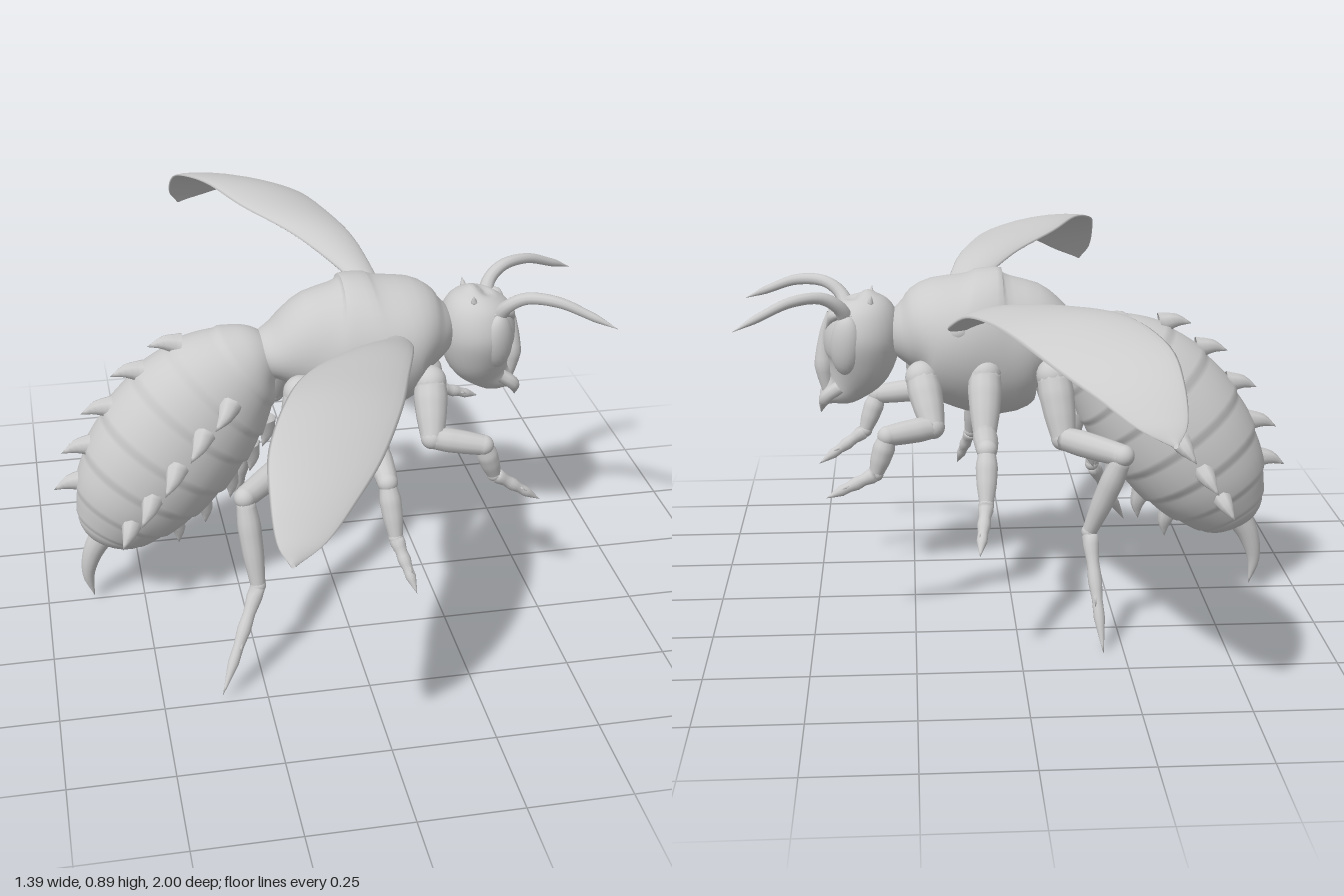
import * as THREE from 'three';
import { mergeVertices } from 'three/addons/utils/BufferGeometryUtils.js';

const V = (x, y, z = 0) => new THREE.Vector3(x, y, z);
const mat = new THREE.MeshStandardMaterial({ color: 0xcccccc, side: THREE.DoubleSide });
const smooth = (pts) => new THREE.CatmullRomCurve3(pts, false, 'catmullrom');

function part(parent, name, geo) {
  const m = new THREE.Mesh(geo, mat);
  m.name = name;
  parent.add(m);
  return m;
}

// Closed rings of points fn(u, angle) joined into a smooth skin
function skin(nu, nv, fn) {
  const pos = [], idx = [];
  for (let i = 0; i <= nu; i++)
    for (let j = 0; j < nv; j++) pos.push(...fn(i / nu, (j / nv) * Math.PI * 2).toArray());
  for (let i = 0; i < nu; i++)
    for (let j = 0; j < nv; j++) {
      const a = i * nv + j, b = i * nv + (j + 1) % nv;
      idx.push(a, b, a + nv, b, b + nv, a + nv);
    }
  const g = new THREE.BufferGeometry();
  g.setAttribute('position', new THREE.Float32BufferAttribute(pos, 3));
  g.setIndex(idx);
  g.computeVertexNormals();
  return g;
}

// Body surface from sections [x, y, half height, half width] along a spine in the xy plane
function bodySurface(sections, ripple = () => 1) {
  const spine = smooth(sections.map((s) => V(s[0], s[1])));
  const size = smooth(sections.map((s) => V(s[2], s[3])));
  return (u, angle) => {
    const t = spine.getTangent(u), r = size.getPoint(u), k = ripple(u);
    const n = V(0, 0, 1).cross(t);
    const out = n.multiplyScalar(Math.cos(angle)).add(V(0, 0, Math.sin(angle)));
    const p = spine.getPoint(u);
    p.addScaledVector(V(out.x, out.y), r.x * k);
    p.z += out.z * r.y * k;
    return { p, out, t };
  };
}

// Tube along points, with radii spread evenly over its length
function taper(pts, radii, seg = 12, sides = 12) {
  const curve = smooth(pts);
  const g = new THREE.TubeGeometry(curve, seg, 1, sides);
  const pos = g.attributes.position, v = V(0, 0);
  for (let i = 0; i <= seg; i++) {
    const c = curve.getPointAt(i / seg), f = (i / seg) * (radii.length - 1);
    const k = Math.min(Math.floor(f), radii.length - 2);
    const r = THREE.MathUtils.lerp(radii[k], radii[k + 1], f - k);
    for (let j = 0; j <= sides; j++) {
      const id = i * (sides + 1) + j;
      v.fromBufferAttribute(pos, id).sub(c).multiplyScalar(r).add(c);
      pos.setXYZ(id, v.x, v.y, v.z);
    }
  }
  g.deleteAttribute('uv');
  g.deleteAttribute('normal');
  const merged = mergeVertices(g, 1e-5);
  merged.computeVertexNormals();
  return merged;
}

function ball(parent, name, p, sx, sy = sx, sz = sx) {
  const m = part(parent, name, new THREE.SphereGeometry(1, 20, 14));
  m.position.copy(p);
  m.scale.set(sx, sy, sz);
  return m;
}

// Jointed leg: thigh, knee piece, shin and clawed foot
function leg(parent, name, pts, thick) {
  const g = new THREE.Group();
  g.name = name;
  parent.add(g);
  const p = pts.map((a) => V(...a));
  const profiles = [[1.15, 1.25, 1.1, 0.85], [0.8, 0.9, 0.85, 0.75], [0.55, 0.8, 0.72, 0.5], [0.5, 0.55, 0.42, 0.48, 0.36, 0.38, 0.2, 0]];
  const names = ['thigh', 'knee', 'shin', 'foot'];
  profiles.forEach((pr, i) => {
    part(g, names[i], taper([p[i], p[i + 1]], pr.map((r) => r * thick), 14));
    if (i < 3) ball(g, 'joint', p[i + 1], thick * [0.85, 0.74, 0.54][i]);
  });
  ball(g, 'hip', p[0], thick * 1.2);
  // Small barbs at the ankle
  for (const s of [-1, 1]) {
    const a = p[3].clone().lerp(p[4], 0.45);
    part(g, 'barb', taper([a, a.clone().lerp(p[4], 0.3).add(V(0.008, 0.004, s * 0.016))], [thick * 0.3, 0], 3, 6));
  }
}

export function createModel() {
  const root = new THREE.Group();
  root.name = 'wasp';

  // Thorax
  const thorax = bodySurface([
    [-0.19, 0.66, 0.001, 0.001], [-0.18, 0.67, 0.05, 0.06], [-0.14, 0.68, 0.075, 0.09], [-0.06, 0.69, 0.14, 0.12],
    [0.02, 0.68, 0.185, 0.145], [0.12, 0.69, 0.175, 0.163], [0.2, 0.71, 0.135, 0.15], [0.26, 0.705, 0.085, 0.1],
    [0.3, 0.7, 0.045, 0.05], [0.31, 0.7, 0.001, 0.001]]);
  part(root, 'thorax', skin(40, 32, (u, a) => thorax(u, a).p));

  // Abdomen with overlapping plates
  const first = 0.27, step = 0.105;
  const plate = (u) => {
    const f = (u - first) / step;
    return u > 0.1 && u < 0.82 ? 1 + 0.045 * (f - Math.floor(f) - 0.5) : 1;
  };
  const abdomen = bodySurface([
    [-0.14, 0.685, 0.03, 0.04], [-0.2, 0.66, 0.105, 0.1], [-0.28, 0.6, 0.16, 0.135], [-0.36, 0.52, 0.185, 0.155],
    [-0.44, 0.42, 0.185, 0.16], [-0.51, 0.32, 0.16, 0.14], [-0.56, 0.24, 0.115, 0.1], [-0.587, 0.193, 0.07, 0.06],
    [-0.595, 0.175, 0.001, 0.001]], plate);
  part(root, 'abdomen', skin(90, 32, (u, a) => abdomen(u, a).p));

  // Four rows of hooked spines: belly, back and both flanks
  for (let i = 0; i < 5; i++)
    for (let q = 0; q < 4; q++) {
      const { p, out, t } = abdomen(first + step * i - 0.004, (q * Math.PI) / 2);
      const at = (o, f) => p.clone().addScaledVector(out, o).addScaledVector(t, f);
      part(root, 'abdomenSpine', taper([at(-0.015, -0.02), at(0.018, 0.004), at(0.04, 0.04)], [0.03, 0.018, 0], 6, 8));
    }

  // Stinger
  part(root, 'stinger', taper([V(-0.59, 0.21), V(-0.625, 0.15), V(-0.642, 0.08), V(-0.63, 0.01)],
    [0.035, 0.029, 0.022, 0.013, 0]));

  // Head, lofted from crown to mouth
  const head = bodySurface([
    [0.375, 0.806, 0.001, 0.001], [0.372, 0.798, 0.045, 0.05], [0.37, 0.765, 0.083, 0.088], [0.372, 0.7, 0.097, 0.105],
    [0.382, 0.63, 0.085, 0.085], [0.415, 0.575, 0.055, 0.05], [0.455, 0.545, 0.026, 0.028], [0.475, 0.52, 0.001, 0.001]]);
  part(root, 'head', skin(36, 28, (u, a) => head(u, a).p));
  part(root, 'faceRidge', taper([V(0.45, 0.76), V(0.466, 0.7), V(0.468, 0.62), V(0.46, 0.56)], [0.008, 0.014, 0.025, 0.015]));

  for (const s of [1, -1]) {
    // Eyes, brows and crown barbs
    const eye = ball(root, 'eye', V(0.41, 0.69, s * 0.07), 0.042, 0.078, 0.032);
    eye.rotation.set(s * 0.12, s * 0.6, 0.1);
    part(root, 'brow', taper([V(0.385, 0.765, s * 0.085), V(0.435, 0.765, s * 0.062), V(0.462, 0.72, s * 0.03)], [0, 0.014, 0], 10, 8));
    part(root, 'crownBarb', taper([V(0.35, 0.78, s * 0.05), V(0.345, 0.815, s * 0.06)], [0.014, 0], 4, 8));
    // Mandibles
    part(root, 'mandible', taper([V(0.43, 0.575, s * 0.035), V(0.465, 0.55, s * 0.036), V(0.48, 0.503, s * 0.008)], [0.018, 0.016, 0], 10, 8));
    // Antennae
    part(root, 'antenna', taper([V(0.405, 0.745, s * 0.055), V(0.425, 0.79, s * 0.085), V(0.47, 0.818, s * 0.108),
      V(0.54, 0.815, s * 0.14), V(0.61, 0.787, s * 0.168), V(0.675, 0.757, s * 0.195)],
    [0.022, 0.017, 0.015, 0.014, 0.012, 0.01, 0], 28, 10));

    // Wing: [span, leading x, trailing x, leading y, trailing y]
    const ribs = [[0.1, 0.16, 0.12, 0.73, 0.735], [0.2, 0.158, 0.08, 0.765, 0.775], [0.35, 0.125, -0.03, 0.82, 0.835],
      [0.5, 0.08, -0.15, 0.84, 0.868], [0.65, 0.03, -0.225, 0.84, 0.882], [0.8, -0.045, -0.285, 0.81, 0.855],
      [0.9, -0.12, -0.3, 0.775, 0.805], [0.97, -0.195, -0.298, 0.73, 0.74], [1, -0.265, -0.275, 0.7, 0.702]];
    const lead = smooth(ribs.map((r) => V(r[1], r[3], s * r[0])));
    const trail = smooth(ribs.map((r) => V(r[2], r[4], s * r[0])));
    part(root, s > 0 ? 'leftWing' : 'rightWing', skin(40, 20, (u, a) => {
      const c = Math.cos(a), p = trail.getPoint(u).lerp(lead.getPoint(u), (c + 1) / 2);
      p.y += 0.012 * (1 - c * c) * Math.sin(u * Math.PI) + s * (0.014 - 0.009 * u) * Math.sin(a);
      return p;
    }));
    ball(root, 'wingRoot', V(0.135, 0.735, s * 0.13), 0.035, 0.03, 0.03);
  }

  // Legs, posed differently on each side
  leg(root, 'leftFrontLeg', [[0.225, 0.62, 0.12], [0.215, 0.505, 0.2], [0.34, 0.485, 0.225], [0.375, 0.39, 0.21], [0.5, 0.3, 0.205]], 0.034);
  leg(root, 'rightFrontLeg', [[0.225, 0.62, -0.12], [0.2, 0.515, -0.2], [0.31, 0.505, -0.235], [0.34, 0.41, -0.235], [0.46, 0.36, -0.265]], 0.034);
  leg(root, 'leftMiddleLeg', [[0.07, 0.63, 0.13], [0.075, 0.49, 0.215], [0.075, 0.465, 0.325], [0.088, 0.335, 0.37], [0.125, 0.22, 0.45]], 0.034);
  leg(root, 'rightMiddleLeg', [[0.07, 0.63, -0.13], [0.075, 0.5, -0.215], [0.075, 0.495, -0.33], [0.08, 0.38, -0.395], [0.1, 0.29, -0.505]], 0.034);
  leg(root, 'leftHindLeg', [[-0.1, 0.62, 0.12], [-0.12, 0.475, 0.17], [-0.27, 0.455, 0.315], [-0.25, 0.235, 0.365], [-0.36, 0.02, 0.5]], 0.036);
  leg(root, 'rightHindLeg', [[-0.1, 0.62, -0.12], [-0.12, 0.475, -0.18], [-0.25, 0.475, -0.335], [-0.175, 0.27, -0.29], [-0.2, 0.0, -0.415]], 0.036);

  return root;
}
